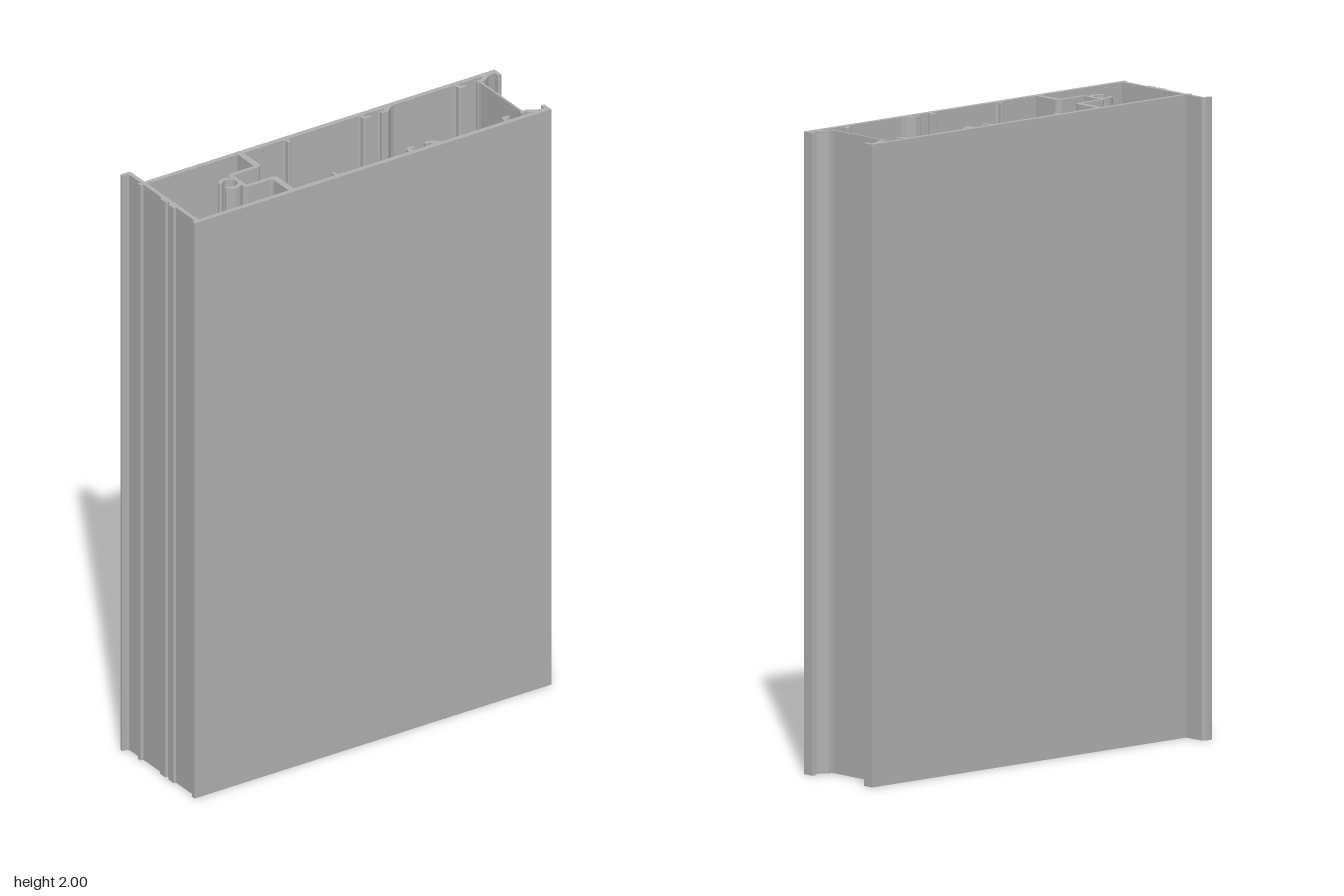
import * as THREE from 'three';

const HEIGHT = 2;
const MID = 0.0365; // z of the plane about which the section is symmetric

// Mirror section points [x, z, cornerRadius] from the back half to the front half
const mirror = (pts) => pts.map(([x, z, r]) => [x, 2 * MID - z, r]);

// Closed outline in plan; a third value rounds that corner
function outline(pts, Type = THREE.Shape) {
  const path = new Type();
  const v = pts.map(([x, z]) => new THREE.Vector2(x, -z));
  const n = v.length;
  pts.forEach(([, , r = 0], i) => {
    const p = v[i];
    const toward = (q) => p.clone().add(q.clone().sub(p).setLength(r));
    const a = r ? toward(v[(i + n - 1) % n]) : p;
    if (i === 0) path.moveTo(a.x, a.y);
    else path.lineTo(a.x, a.y);
    if (r) {
      const b = toward(v[(i + 1) % n]);
      path.quadraticCurveTo(p.x, p.y, b.x, b.y);
    }
  });
  path.closePath();
  return path;
}

const rect = (x0, x1, z0, z1) => [[x0, z0], [x1, z0], [x1, z1], [x0, z1]];

export function createModel() {
  const group = new THREE.Group();
  const metal = new THREE.MeshStandardMaterial({ color: 0xb0b0b0 });
  metal.name = 'grey metal';

  // Extrude a plan shape up the full height
  function add(name, shape) {
    const geo = new THREE.ExtrudeGeometry(shape, { depth: HEIGHT, bevelEnabled: false, curveSegments: 8 });
    geo.rotateX(-Math.PI / 2);
    geo.translate(0.002, 0, 0.003);
    const mesh = new THREE.Mesh(geo, metal);
    mesh.name = name;
    group.add(mesh);
  }
  function addPair(name, pts) {
    add(name + 'Back', outline(pts));
    add(name + 'Front', outline(mirror(pts)));
  }

  // Outer channel: both faces and the end wall, with small end ribs and end lips
  const half = [
    [-0.645, -0.103], [-0.655, -0.105], [-0.655, -0.119], [0.663, -0.119],
    [0.663, -0.079, 0.004], [0.65, -0.079, 0.004], [0.65, -0.103, 0.006],
    [-0.276, -0.101], [-0.276, -0.103], [-0.631, -0.103],
  ];
  add('outerChannel', outline([...half, ...mirror(half).reverse()]));

  // Flange standing off the back corner
  add('backFlange', outline([
    [-0.631, -0.119], [-0.631, -0.198, 0.012], [-0.667, -0.198, 0.004],
    [-0.667, -0.185, 0.004], [-0.645, -0.185, 0.008], [-0.645, -0.119],
  ]));

  // Small pads on the end wall
  for (const [z0, z1] of [[-0.003, 0.031], [0.042, 0.076]]) {
    add('endWallPad', outline([
      [-0.645, z0], [-0.653, z0 + 0.003], [-0.653, z1 - 0.003], [-0.645, z1],
    ]));
  }

  // Stepped partition between the two chambers
  const leftSide = [[-0.297, -0.103], [-0.297, -0.014, 0.012], [-0.385, -0.014], [-0.397, -0.002]];
  const rightSide = [[-0.276, -0.103], [-0.276, 0, 0.02], [-0.383, 0]];
  add('partition', outline([
    ...leftSide, ...mirror(leftSide).reverse(), ...mirror(rightSide), ...[...rightSide].reverse(),
  ]));

  // Open screw boss with rounded tips
  const cx = -0.419, cy = -MID, ri = 0.023, ro = 0.037, a = 2.45;
  const rm = (ri + ro) / 2, rt = (ro - ri) / 2;
  const boss = new THREE.Shape();
  boss.absarc(cx, cy, ro, -a, a, false);
  boss.absarc(cx + rm * Math.cos(a), cy + rm * Math.sin(a), rt, a, a + Math.PI, false);
  boss.absarc(cx, cy, ri, a, -a, true);
  boss.absarc(cx + rm * Math.cos(a), cy - rm * Math.sin(a), rt, Math.PI - a, 2 * Math.PI - a, false);
  add('screwBoss', boss);

  // Small inner ribs
  addPair('innerRib', [
    [-0.13, -0.102], [-0.108, -0.102], [-0.114, -0.095], [-0.114, -0.081, 0.003], [-0.125, -0.081, 0.003], [-0.125, -0.096],
  ]);

  // Clip hooks: an L-shaped hook faces a sloped one across each slot
  for (const x of [0.151, 0.504]) {
    addPair('clipHook', [
      [x - 0.006, -0.102], [x + 0.013, -0.102], [x + 0.013, -0.089], [x + 0.028, -0.089, 0.003],
      [x + 0.028, -0.077, 0.003], [x, -0.077, 0.006], [x, -0.095],
    ]);
  }
  addPair('slopedHook', [
    [0.222, -0.102], [0.28, -0.102], [0.265, -0.097], [0.243, -0.077, 0.004],
    [0.219, -0.077, 0.003], [0.219, -0.089, 0.003], [0.236, -0.089], [0.236, -0.097],
  ]);
  addPair('endHook', [
    [0.608, -0.106], [0.651, -0.106], [0.648, -0.1], [0.625, -0.095], [0.6, -0.077, 0.004],
    [0.573, -0.077, 0.003], [0.573, -0.089, 0.003], [0.591, -0.089],
  ]);

  // Thin web closing the open end
  add('endWeb', outline([
    [0.576, -0.078], [0.587, -0.078], [0.585, -0.066], [0.585, 0.139], [0.587, 0.151],
    [0.576, 0.151], [0.578, 0.139], [0.578, -0.066],
  ]));

  return group;
}
